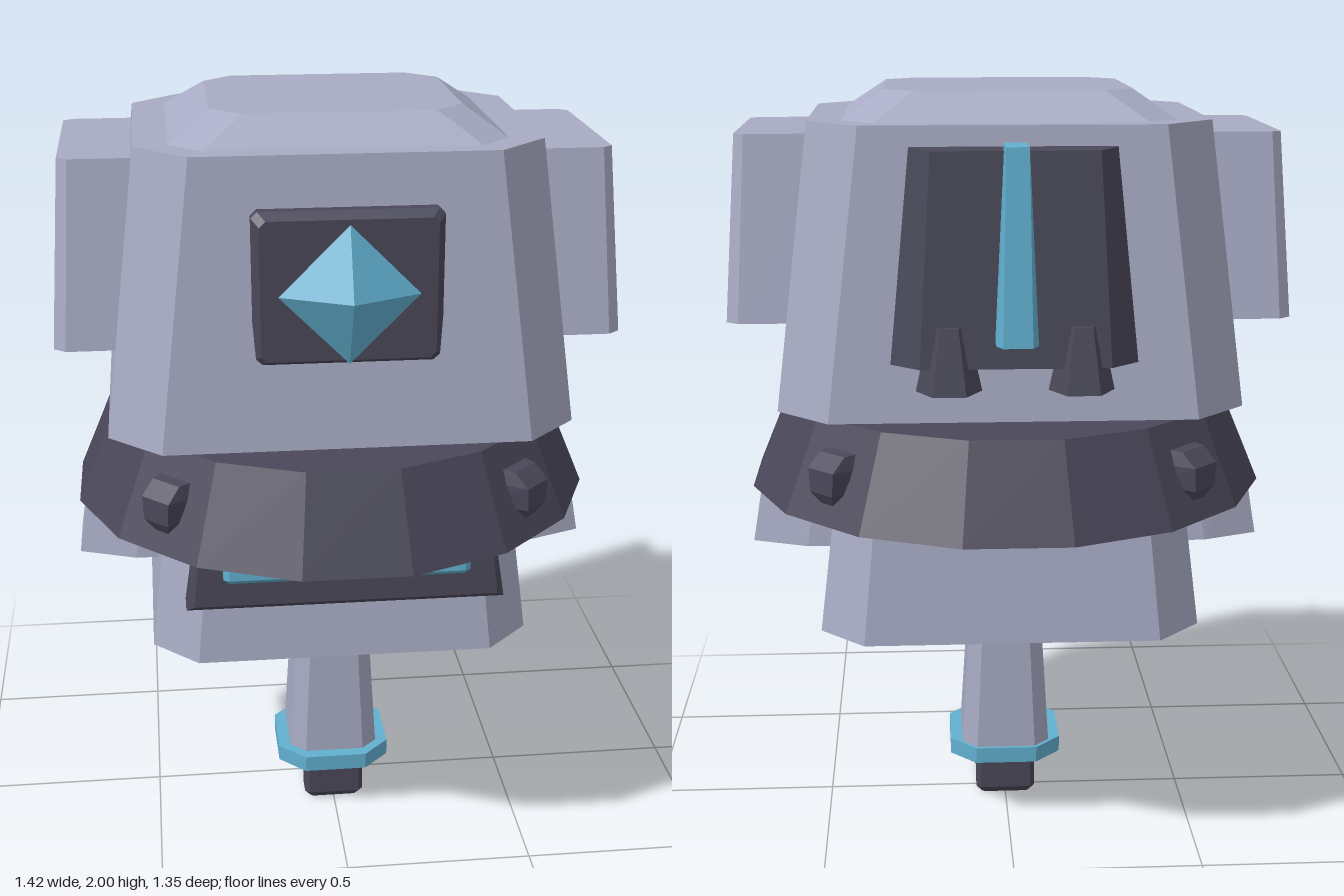
import * as THREE from 'three';
import { ConvexGeometry } from 'three/addons/geometries/ConvexGeometry.js';

const mat = (name, color) => Object.assign(new THREE.MeshStandardMaterial({ color }), { name });

export function createModel() {
  const model = new THREE.Group();
  model.name = 'hoveringMachine';
  const shell = mat('paleShell', 0xa8abc4);
  const dark = mat('darkTrim', 0x4a4859);
  const glow = mat('blueGlow', 0x62b0d0);

  const add = (name, geometry, material, parent = model) => {
    const mesh = new THREE.Mesh(geometry, material);
    mesh.name = name;
    parent.add(mesh);
    return mesh;
  };

  // faceted solid spanned by its corner points
  const hull = (name, points, material, parent) =>
    add(name, new ConvexGeometry(points.map(p => new THREE.Vector3(...p))), material, parent);

  // horizontal rectangle with cut corners, as a cross-section
  const oct = (y, hx, hz, cut, cz = 0) => {
    const ring = [];
    for (const sx of [-1, 1]) for (const sz of [-1, 1]) {
      ring.push([sx * hx, y, cz + sz * (hz - cut)], [sx * (hx - cut), y, cz + sz * hz]);
    }
    return ring;
  };

  // points repeated on both sides of x = 0 or z = 0
  const mirrorX = pts => pts.flatMap(([x, y, z]) => [[x, y, z], [-x, y, z]]);
  const mirrorZ = pts => pts.flatMap(([x, y, z]) => [[x, y, z], [x, y, -z]]);

  // flat-shaded 16-sided drum
  const drum = (name, rTop, rBottom, y0, y1, material) => {
    const g = new THREE.CylinderGeometry(rTop, rBottom, y1 - y0, 16).rotateY(Math.PI / 16)
      .translate(0, (y0 + y1) / 2, 0).toNonIndexed();
    g.computeVertexNormals();
    return add(name, g, material);
  };

  // head, cap and neck
  hull('head', [...oct(1.22, 0.587, 0.483, 0.132), ...oct(1.93, 0.498, 0.41, 0.128)], shell);
  hull('headCap', [...oct(1.925, 0.42, 0.355, 0.078), ...oct(2, 0.31, 0.268, 0.075)], shell);
  hull('neck', [...oct(1.1, 0.43, 0.38, 0.12), ...oct(1.25, 0.43, 0.38, 0.12)], shell);

  // collar with glowing underside
  drum('collar', 0.588, 0.69, 0.96, 1.2, dark);
  drum('collarGlow', 0.627, 0.627, 0.94, 0.97, glow);

  // four studs on the diagonals of the collar
  for (let i = 0; i < 4; i++) {
    const stud = hull('collarStud', mirrorX([
      [0.06, 1.14, 0.55], [0.07, 1.1, 0.55], [0.07, 1.04, 0.55], [0.02, 1.0, 0.6],
      [0.045, 1.135, 0.635], [0.045, 1.1, 0.675], [0.04, 1.04, 0.675], [0.015, 1.0, 0.65],
    ]), dark);
    stud.rotation.y = Math.PI / 4 + i * Math.PI / 2;
  }

  // lower body
  hull('lowerBody', [...oct(0.615, 0.497, 0.43, 0.115), ...oct(1.0, 0.45, 0.385, 0.105)], shell);
  hull('chestPanel', mirrorX([
    [0.41, 0.775, 0.36], [0.41, 0.775, 0.44], [0.39, 0.79, 0.456],
    [0.38, 0.97, 0.36], [0.38, 0.97, 0.43], [0.37, 0.97, 0.445],
  ]), dark);
  hull('chestLight', mirrorX([
    [0.315, 0.87, 0.4], [0.315, 0.87, 0.47], [0.3, 0.857, 0.4], [0.3, 0.857, 0.465],
    [0.3, 0.872, 0.482], [0.315, 0.96, 0.4], [0.315, 0.96, 0.465], [0.3, 0.96, 0.478],
  ]), glow);

  // side pods on the head and fins on the lower body
  for (const s of [-1, 1]) {
    const side = pts => mirrorZ(pts).map(([x, y, z]) => [s * x, y, z]);
    hull('sidePod', side([
      [0.497, 1.437, 0.318], [0.68, 1.437, 0.318], [0.71, 1.437, 0.293],
      [0.47, 1.897, 0.25], [0.655, 1.897, 0.25], [0.68, 1.897, 0.23],
    ]), shell);
    hull('sideFin', side([
      [0.44, 0.795, 0.158], [0.535, 0.795, 0.158], [0.685, 0.795, 0.1],
      [0.42, 1.03, 0.13], [0.51, 1.03, 0.13], [0.645, 1.03, 0.085],
    ]), shell);
  }

  // front emblem: dark plate with a faceted gem
  const plate = (y, h, z) => [];
  const platePoints = [];
  for (const [hw, hh, z] of [[0.23, 0.19, 0.36], [0.23, 0.19, 0.45], [0.212, 0.172, 0.474]]) {
    for (const y of [-1, 1]) {
      platePoints.push([hw, 1.617 + y * (hh - 0.015), z], [hw - 0.015, 1.617 + y * hh, z]);
    }
  }
  hull('gemPlate', mirrorX(platePoints), dark);
  hull('gem', [
    ...mirrorX([[0.17, 1.61, 0.488]]), [0, 1.78, 0.488], [0, 1.44, 0.488], [0, 1.61, 0.57],
  ], glow);

  // back unit with two nozzles and a glowing fin
  hull('backUnit', mirrorX([
    [0.3, 1.37, -0.4], [0.3, 1.37, -0.495], [0.23, 1.37, -0.558],
    [0.25, 1.88, -0.38], [0.25, 1.88, -0.43], [0.2, 1.88, -0.52],
  ]), dark);
  for (const s of [-1, 1]) {
    const g = new THREE.CylinderGeometry(0.045, 0.08, 0.16, 6).rotateY(Math.PI / 6).toNonIndexed();
    g.computeVertexNormals();
    add('backNozzle', g, dark).position.set(s * 0.16, 1.39, -0.522);
  }
  hull('backFin', mirrorX([
    [0.05, 1.437, -0.53], [0.05, 1.437, -0.61], [0.035, 1.437, -0.64],
    [0.027, 1.897, -0.5], [0.027, 1.897, -0.605],
  ]), glow);

  // stem under the body
  hull('stemSocket', [...oct(0.55, 0.117, 0.117, 0.045), ...oct(0.64, 0.117, 0.117, 0.045)], shell);
  hull('stemCore', [...oct(0.48, 0.1, 0.1, 0.04, 0.02), ...oct(0.56, 0.1, 0.1, 0.04, 0.02)], shell);
  hull('stemClamp', [...oct(0.5, 0.112, 0.107, 0.05, 0.018), ...oct(0.56, 0.112, 0.107, 0.05, 0.018)], dark);
  for (const s of [-1, 1]) {
    add('clampTab', new THREE.BoxGeometry(0.03, 0.11, 0.085), dark).position.set(s * 0.105, 0.52, 0.02);
    add('clampTab', new THREE.BoxGeometry(0.1, 0.075, 0.03), dark).position.set(0, 0.537, 0.018 + s * 0.098);
  }
  hull('stem', [...oct(0.125, 0.125, 0.135, 0.042, 0.033), ...oct(0.5, 0.102, 0.122, 0.036, 0.033)], shell);
  hull('stemRing', [...oct(0.12, 0.155, 0.155, 0.07, 0.045), ...oct(0.165, 0.155, 0.155, 0.07, 0.045)], glow);

  // two prongs at the foot
  for (const z of [0.12, -0.024]) {
    hull('prong', [
      ...oct(0, 0.068, 0.026, 0.008, z), ...oct(0.02, 0.083, 0.04, 0.012, z), ...oct(0.14, 0.083, 0.04, 0.012, z),
    ], dark);
  }
  return model;
}
